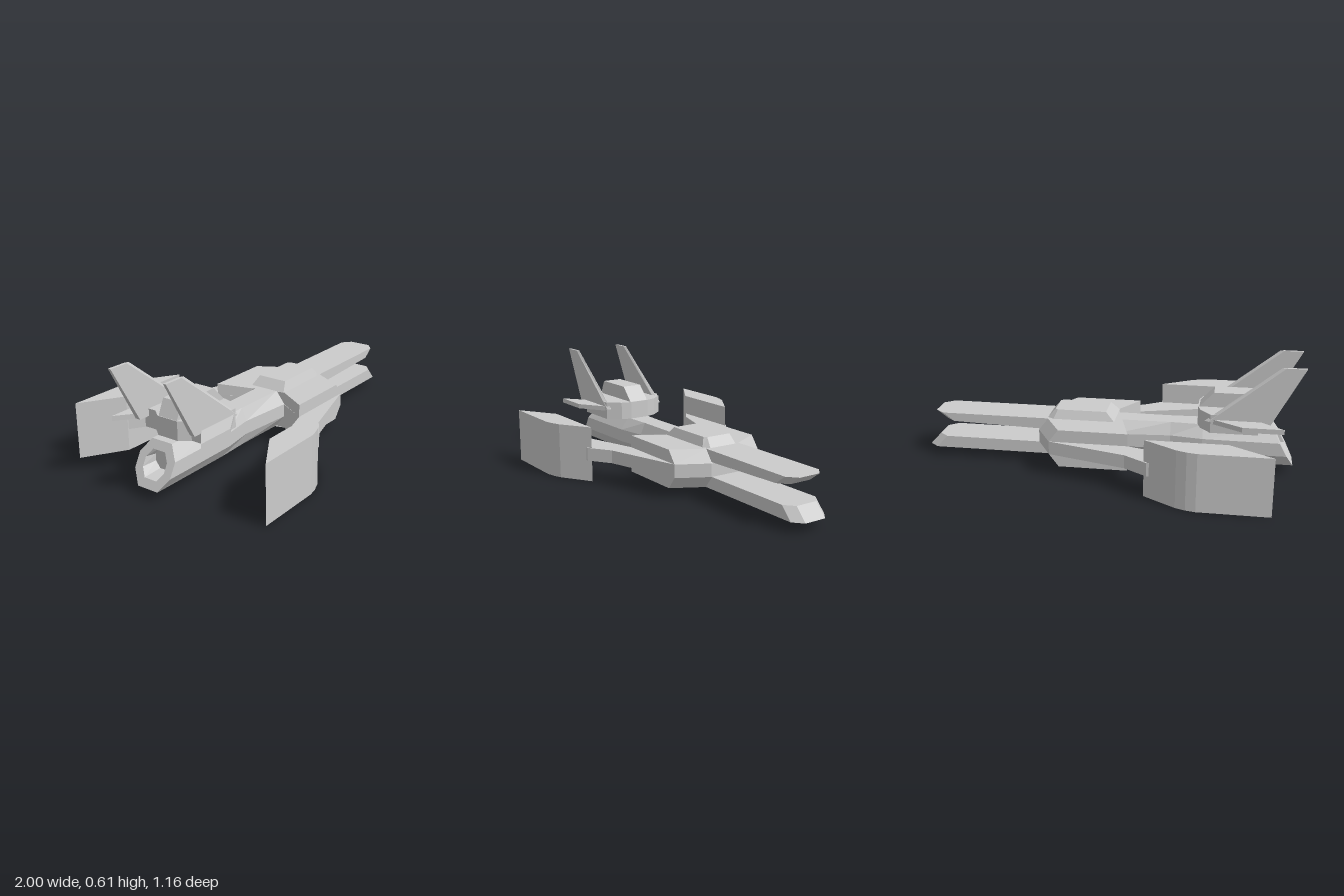
import * as THREE from 'three';

const material = new THREE.MeshStandardMaterial({ color: 0xcccccc, flatShading: true, side: THREE.DoubleSide });

// Skins matching rings of [x, y, z] points and caps both ends, facing outward.
function loft(rings) {
  const tris = [];
  const n = rings[0].length;
  for (let r = 0; r < rings.length - 1; r++) {
    for (let i = 0; i < n; i++) {
      const j = (i + 1) % n;
      const [a, b, c, d] = [rings[r][i], rings[r][j], rings[r + 1][j], rings[r + 1][i]];
      tris.push([a, b, c], [a, c, d]);
    }
  }
  const first = rings[0], last = rings[rings.length - 1];
  for (let i = 1; i < n - 1; i++) {
    tris.push([first[0], first[i + 1], first[i]], [last[0], last[i], last[i + 1]]);
  }
  let volume = 0;
  for (const t of tris) {
    const [a, b, c] = t.map(p => new THREE.Vector3(...p));
    volume += a.dot(b.cross(c));
  }
  if (volume < 0) tris.forEach(t => t.reverse());
  const geometry = new THREE.BufferGeometry();
  geometry.setAttribute('position', new THREE.Float32BufferAttribute(tris.flat(2), 3));
  geometry.computeVertexNormals();
  return geometry;
}

// Ring at one height from [x, z] plan points
const level = (y, plan) => plan.map(([x, z]) => [x, y, z]);

// Upright slab with a plan outline that may be concave
function slab(plan, y0, y1) {
  const shape = new THREE.Shape(plan.map(([x, z]) => new THREE.Vector2(x, -z)));
  const geometry = new THREE.ExtrudeGeometry(shape, { depth: y1 - y0, bevelEnabled: false });
  return geometry.rotateX(-Math.PI / 2).translate(0, y0, 0);
}

// Complete a half outline (z > 0) with its mirror
const mirrored = half => [...half, ...half.map(([x, z]) => [x, -z]).reverse()];

export function createModel() {
  const model = new THREE.Group();
  const add = (name, geometry) => {
    const mesh = new THREE.Mesh(geometry, material);
    mesh.name = name;
    model.add(mesh);
  };

  // Central hull: straight waist with bevelled leading edges above and below
  const hullPlan = inset => mirrored([[-0.03, 0.105], [-0.13, 0.267], [0.28 - inset, 0.267], [0.37 - inset, 0.105]]);
  add('hull', loft([
    level(0.05, hullPlan(0.05)), level(0.115, hullPlan(0)),
    level(0.185, hullPlan(0)), level(0.25, hullPlan(0.05)),
  ]));

  // Twin nose prongs with pointed, raked tips
  const prongPlan = tip => mirrored([[0.1, 0.103], [tip - 0.05, 0.103], [tip, 0.06]]);
  add('lowerProng', loft([level(0.05, prongPlan(1)), level(0.115, prongPlan(0.94))]));
  const underside = level(0.185, prongPlan(0.895)).map(([x, y, z]) => [x, x > 0.3 ? 0.205 : 0.183, z]);
  add('upperProng', loft([underside, level(0.25, prongPlan(0.955))]));

  // Canopy
  add('canopy', loft([
    level(0.25, mirrored([[-0.035, 0.103], [0.29, 0.103], [0.325, 0.08]])),
    level(0.297, mirrored([[0.01, 0.083], [0.27, 0.083], [0.285, 0.07]])),
  ]));

  // Octagonal tail boom, ending in a raked face with a recessed nozzle
  const boomRing = (wide, flat, atX, scale = 1) =>
    [[flat, 0.1], [wide, 0.035], [wide, -0.035], [flat, -0.1],
      [-flat, -0.1], [-wide, -0.035], [-wide, 0.035], [-flat, 0.1]]
      .map(([z, y]) => [atX(0.15 + y * scale), 0.15 + y * scale, z * scale]);
  const rake = y => -0.97 + (y - 0.05) * 0.55;
  add('tailBoom', loft([
    boomRing(0.105, 0.055, () => 0.05),
    boomRing(0.105, 0.055, () => -0.03),
    boomRing(0.08, 0.052, () => -0.33),
    boomRing(0.105, 0.06, () => -0.5),
    boomRing(0.108, 0.06, rake),
    boomRing(0.108, 0.06, rake, 0.6),
    boomRing(0.108, 0.06, () => -0.85, 0.5),
  ]));

  // Tail deck and raised cabin
  add('tailDeck', slab(mirrored([
    [-0.82, 0.06], [-0.78, 0.11], [-0.78, 0.178], [-0.54, 0.178], [-0.485, 0.11], [-0.47, 0.055],
  ]), 0.25, 0.347));
  add('tailCabin', loft([
    level(0.34, mirrored([[-0.82, 0.056], [-0.47, 0.056]])),
    level(0.425, mirrored([[-0.78, 0.056], [-0.55, 0.056]])),
  ]));

  for (const side of [1, -1]) {
    const label = side > 0 ? 'left' : 'right';
    const flip = plan => plan.map(([x, z]) => [x, z * side]);

    // Swept arm from the hull to the outer pod
    add(label + 'Arm', slab(flip([
      [0.28, 0.267], [-0.13, 0.385], [-0.25, 0.465], [-0.64, 0.465],
      [-0.64, 0.45], [-0.55, 0.39], [-0.13, 0.267], [-0.03, 0.1], [0.28, 0.1],
    ]), 0.115, 0.185));

    // Tall outer pod
    add(label + 'Pod', slab(flip([
      [-0.855, 0.582], [-0.5, 0.582], [-0.45, 0.572], [-0.4, 0.553], [-0.235, 0.447], [-0.64, 0.447],
    ]), 0, 0.297));

    // Small horizontal stabilizer
    add(label + 'Stabilizer', slab(flip([
      [-0.54, 0.17], [-0.7, 0.272], [-0.905, 0.272], [-0.78, 0.17],
    ]), 0.297, 0.322));

    // Swept tail fin, thinner at the top
    const fin = (y, back, front, inner, outer) =>
      level(y, flip([[back, inner], [front - 0.02, inner], [front, (inner + outer) / 2], [front - 0.02, outer], [back, outer]]));
    add(label + 'Fin', loft([
      fin(0.31, -0.84, -0.51, 0.153, 0.181),
      fin(0.605, -1, -0.88, 0.156, 0.172),
    ]));
  }
  return model;
}
